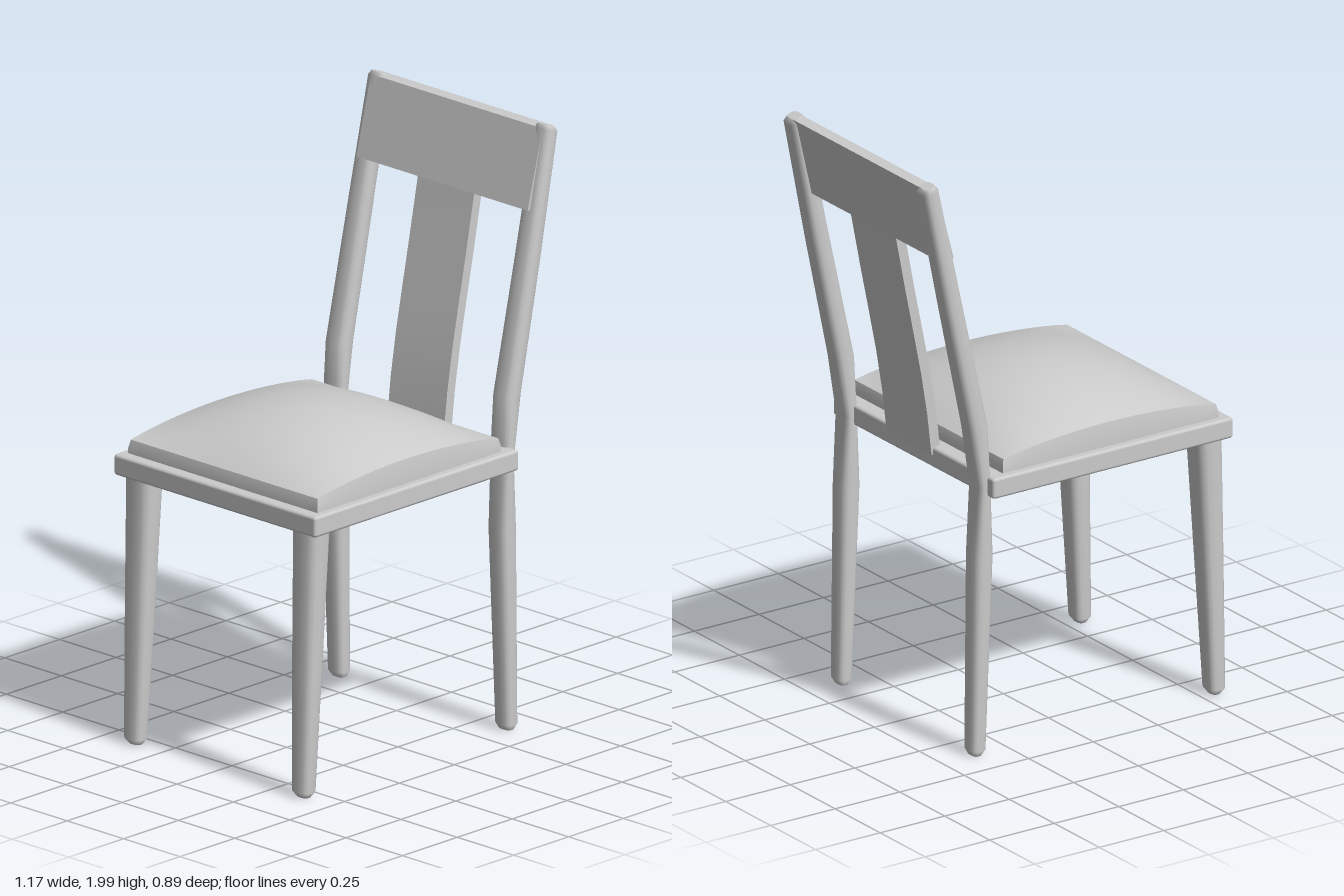
import * as THREE from 'three';
import { RoundedBoxGeometry } from 'three/addons/geometries/RoundedBoxGeometry.js';

const material = new THREE.MeshStandardMaterial({ color: 0xcccccc, roughness: 0.8 });

function part(name, geometry) {
  const mesh = new THREE.Mesh(geometry, material);
  mesh.name = name;
  return mesh;
}

// Upright with a rounded-square section. Each section is
// [y, xMin, xMax, zMin, zMax, tilt], listed from foot to top.
function upright(name, sections, side) {
  const n = sections.length - 1;
  const g = new THREE.CylinderGeometry(1, 1, 1, 16, n);
  const p = g.attributes.position;
  const round = (v) => Math.sign(v) * Math.pow(Math.abs(v), 0.7);
  for (let i = 0; i < p.count; i++) {
    const [y, x0, x1, z0, z1, tilt = 0] = sections[Math.round((p.getY(i) + 0.5) * n)];
    const dx = round(p.getX(i)) * (x1 - x0) / 2;
    const dz = round(p.getZ(i)) * (z1 - z0) / 2;
    p.setXYZ(i, (x0 + x1) / 2 + dx, y - dx * tilt, side * (z0 + z1) / 2 + dz);
  }
  g.computeVertexNormals();
  return part(name, g);
}

// Leaning board: profile rows are [y, xFront, xBack], from bottom to top.
function board(name, rows, z0, z1) {
  const n = rows.length - 1;
  const g = new THREE.BoxGeometry(1, 1, 1, 1, n, 1);
  const p = g.attributes.position;
  for (let i = 0; i < p.count; i++) {
    const [y, front, back] = rows[Math.round((p.getY(i) + 0.5) * n)];
    p.setXYZ(i, p.getX(i) < 0 ? front : back, y, p.getZ(i) < 0 ? z0 : z1);
  }
  g.computeVertexNormals();
  return part(name, g);
}

// Pillow-shaped pad: a straight rim with a domed top.
function cushion() {
  const g = new THREE.BoxGeometry(2, 1, 2, 16, 2, 16);
  const p = g.attributes.position;
  for (let i = 0; i < p.count; i++) {
    const u = p.getX(i), v = p.getZ(i), t = p.getY(i) + 0.5;
    const dome = Math.pow(Math.max(0, 1 - u * u), 0.9) * (1 - 0.72 * v * v);
    const top = 1.005 + 0.125 * dome;
    const inset = t > 0.9 ? 0.985 : 1;
    p.setXYZ(i, -0.123 + u * 0.418 * inset, 0.95 + t * (top - 0.95), v * 0.42 * inset);
  }
  g.computeVertexNormals();
  return part('cushion', g);
}

export function createModel() {
  const chair = new THREE.Group();
  chair.name = 'chair';

  // Seat board and pad
  const seat = part('seat', new RoundedBoxGeometry(0.93, 0.07, 0.895, 2, 0.01));
  seat.position.set(-0.115, 0.925, 0);
  chair.add(seat, cushion());

  // Front legs taper to the floor; back posts bend at seat height
  for (const side of [1, -1]) {
    chair.add(upright('frontLeg', [
      [0, -0.57, -0.54, 0.35, 0.395],
      [0.02, -0.585, -0.525, 0.335, 0.41],
      [0.5, -0.575, -0.495, 0.322, 0.42],
      [0.9, -0.567, -0.468, 0.315, 0.425],
    ], side));
    chair.add(upright('backPost', [
      [0, 0.355, 0.385, 0.345, 0.395],
      [0.02, 0.342, 0.396, 0.335, 0.407],
      [0.68, 0.315, 0.388, 0.328, 0.412],
      [0.92, 0.328, 0.372, 0.327, 0.415],
      [1.125, 0.335, 0.408, 0.33, 0.413],
      [1.55, 0.429, 0.498, 0.332, 0.41],
      [1.97, 0.523, 0.581, 0.332, 0.405, 0.3],
      [1.985, 0.533, 0.571, 0.342, 0.395, 0.3],
    ], side));
  }

  // Back rest: wide top rail and a curved central splat
  chair.add(board('topRail', [[1.72, 0.457, 0.51], [1.98, 0.525, 0.57]], -0.38, 0.38));
  chair.add(board('splat', [
    [0.935, 0.32, 0.355],
    [1.08, 0.337, 0.372],
    [1.22, 0.36, 0.395],
    [1.36, 0.388, 0.423],
    [1.52, 0.421, 0.456],
    [1.74, 0.464, 0.499],
  ], -0.11, 0.14));

  return chair;
}
